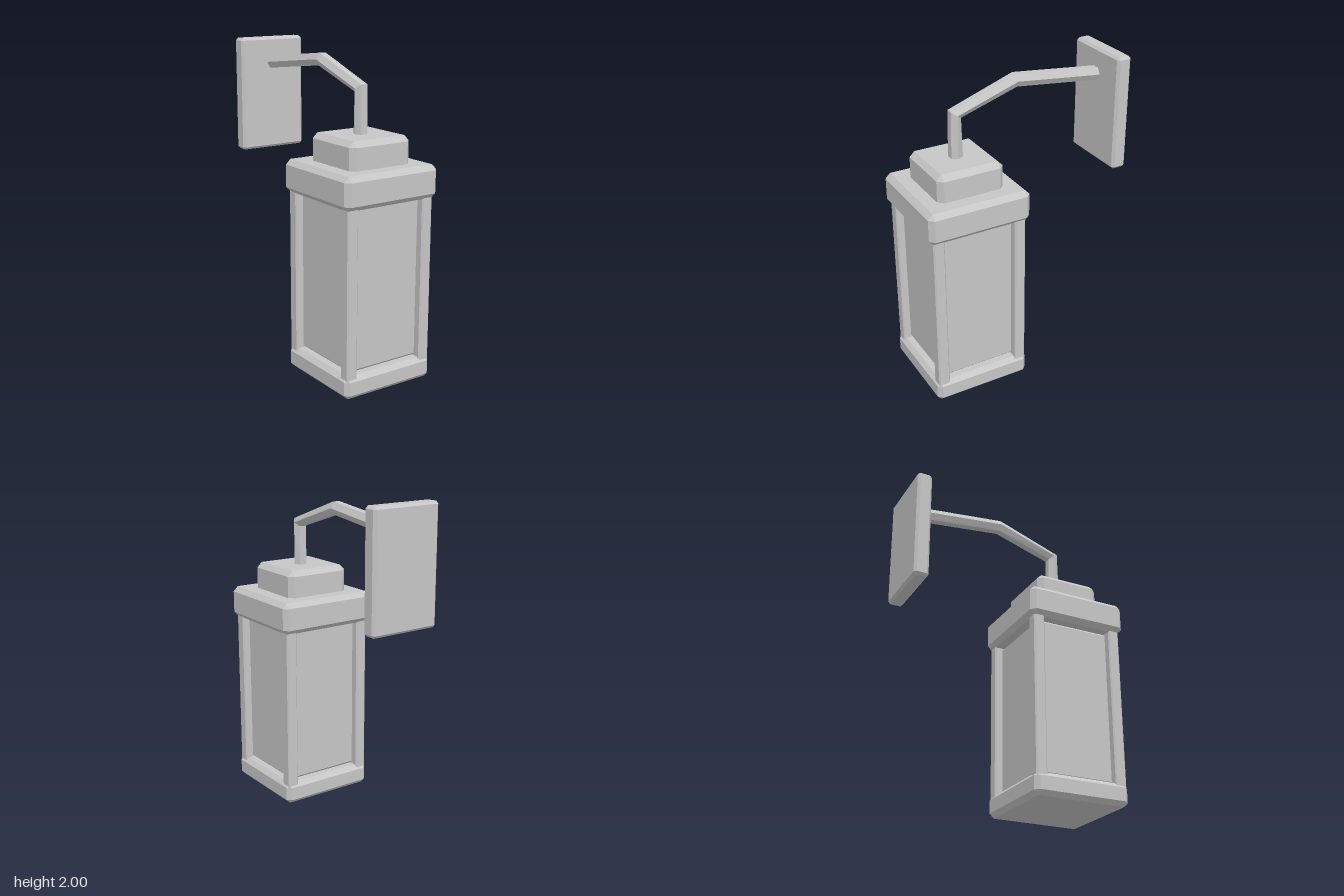
import * as THREE from 'three';
import { ConvexGeometry } from 'three/addons/geometries/ConvexGeometry.js';

const paint = new THREE.MeshStandardMaterial({ color: 0xc6c6c6 });
paint.name = 'plainGrey';

// Box with every edge cut by a flat chamfer c
function chamferBox(name, w, h, d, c, x, y, z) {
  const pts = [];
  for (const sx of [-1, 1]) for (const sy of [-1, 1]) for (const sz of [-1, 1]) {
    for (let axis = 0; axis < 3; axis++) {
      const cut = [c, c, c];
      cut[axis] = 0;
      pts.push(new THREE.Vector3(
        sx * (w / 2 - cut[0]), sy * (h / 2 - cut[1]), sz * (d / 2 - cut[2])));
    }
  }
  const mesh = new THREE.Mesh(new ConvexGeometry(pts), paint);
  mesh.name = name;
  mesh.position.set(x, y, z);
  return mesh;
}

// Hexagonal bar swept along a [z, y] path, one unscaled ring at each bend
function hexBar(name, path, r) {
  const sides = 6;
  const p = path.map(([z, y]) => new THREE.Vector3(0, y, z));
  const dirs = p.slice(1).map((q, i) => q.clone().sub(p[i]).normalize());
  const rings = p.map((c, i) => {
    const t = new THREE.Vector3();
    if (i > 0) t.add(dirs[i - 1]);
    if (i < dirs.length) t.add(dirs[i]);
    t.normalize();
    const n = new THREE.Vector3(0, -t.z, t.y);
    return Array.from({ length: sides }, (_, k) => {
      const a = k * Math.PI * 2 / sides;
      return c.clone().addScaledVector(n, r * Math.sin(a)).setX(r * Math.cos(a));
    });
  });
  const pos = [];
  const tri = (a, b, c) => [a, b, c].forEach(v => pos.push(v.x, v.y, v.z));
  for (let k = 0; k < sides; k++) {
    const m = (k + 1) % sides;
    for (let i = 0; i < rings.length - 1; i++) {
      const a = rings[i][k], b = rings[i][m], c = rings[i + 1][m], d = rings[i + 1][k];
      tri(a, c, b);
      tri(a, d, c);
    }
    tri(p[0], rings[0][k], rings[0][m]);
    tri(p[p.length - 1], rings[rings.length - 1][m], rings[rings.length - 1][k]);
  }
  const g = new THREE.BufferGeometry();
  g.setAttribute('position', new THREE.Float32BufferAttribute(pos, 3));
  g.computeVertexNormals();
  const mesh = new THREE.Mesh(g, paint);
  mesh.name = name;
  return mesh;
}

export function createModel() {
  const model = new THREE.Group();
  model.name = 'wallLantern';

  // Lantern body, centred under the hanging end of the arm
  const lantern = new THREE.Group();
  lantern.name = 'lantern';
  lantern.position.z = 0.37;
  lantern.add(
    chamferBox('base', 0.63, 0.14, 0.63, 0.028, 0, 0.07, 0),
    chamferBox('glassBody', 0.51, 1.0, 0.51, 0.017, 0, 0.638, 0),
    chamferBox('cap', 0.66, 0.2, 0.66, 0.031, 0, 1.235, 0),
    chamferBox('capTop', 0.43, 0.21, 0.43, 0.033, 0, 1.397, 0)
  );

  // Corner posts
  for (const sx of [-1, 1]) for (const sz of [-1, 1]) {
    lantern.add(chamferBox('cornerPost', 0.073, 1.1, 0.073, 0.008, sx * 0.268, 0.64, sz * 0.268));
  }
  model.add(lantern);

  // Bent arm and wall plate
  model.add(
    hexBar('arm', [[0.37, 1.46], [0.37, 1.77], [-0.03, 1.904], [-0.62, 1.838]], 0.045),
    chamferBox('wallPlate', 0.46, 0.73, 0.097, 0.016, 0, 1.635, -0.6515)
  );
  return model;
}
